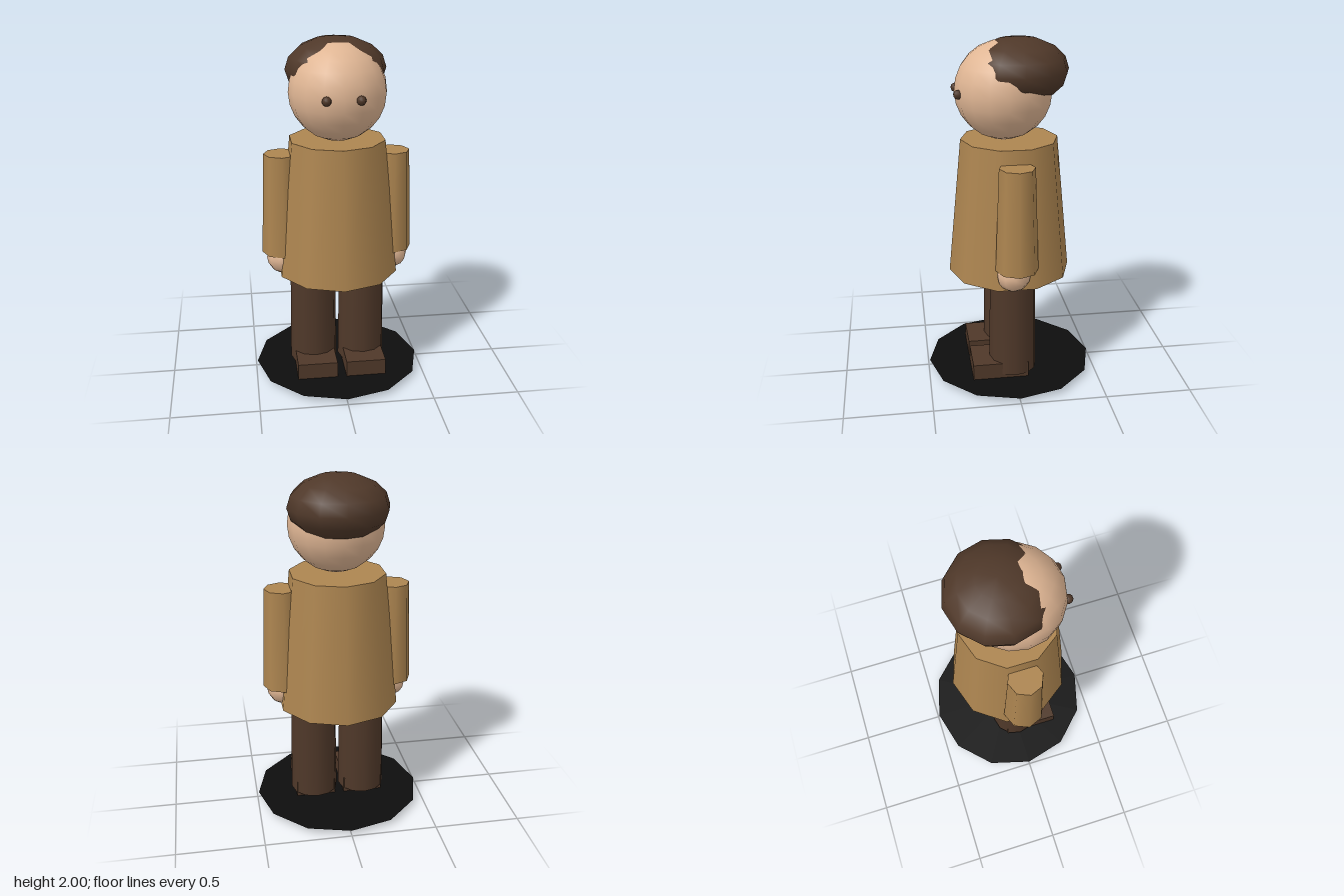
import * as THREE from 'three';

const material = (name, color) => {
  const m = new THREE.MeshStandardMaterial({ color });
  m.name = name;
  return m;
};

export function createModel() {
  const model = new THREE.Group();
  model.name = 'standingFigure';
  const skin = material('skin', 0xe0b694);
  const brown = material('darkBrown', 0x4f3829);
  const tan = material('tanCoat', 0xad8550);
  const black = material('blackBase', 0x0d0d0d);
  black.side = THREE.DoubleSide;

  const add = (name, geometry, mat, x, y, z) => {
    const mesh = new THREE.Mesh(geometry, mat);
    mesh.name = name;
    mesh.position.set(x, y, z);
    model.add(mesh);
    return mesh;
  };

  // Flat twelve-sided base disc, just above the soles
  add('baseDisc', new THREE.CircleGeometry(0.492, 12), black, 0, 0.03, 0).rotation.x = -Math.PI / 2;

  // Flared coat body
  add('coat', new THREE.CylinderGeometry(0.277, 0.355, 0.795, 10), tan, 0, 1.0375, 0);

  // Head with a flattened cap of hair set slightly back
  add('head', new THREE.SphereGeometry(0.275, 16, 12), skin, 0, 1.71, 0.031);
  add('hair', new THREE.SphereGeometry(0.285, 12, 8), brown, 0, 1.82, -0.05).scale.y = 0.18 / 0.285;

  // Mirrored limbs and eyes
  for (const [side, s] of [['left', 1], ['right', -1]]) {
    add(side + 'Eye', new THREE.SphereGeometry(0.026, 10, 8), brown, s * 0.092, 1.71, 0.291);
    add(side + 'Sleeve', new THREE.CylinderGeometry(0.1, 0.121, 0.595, 8), tan, s * 0.319, 1.0575, 0);
    add(side + 'Hand', new THREE.SphereGeometry(0.097, 10, 8), skin, s * 0.319, 0.732, 0.02);
    add(side + 'Leg', new THREE.CylinderGeometry(0.132, 0.14, 0.65, 12), brown, s * 0.145, 0.38, 0);
    add(side + 'Shoe', new THREE.BoxGeometry(0.234, 0.125, 0.326), brown, s * 0.144, 0.0625, 0.084);
  }

  return model;
}
